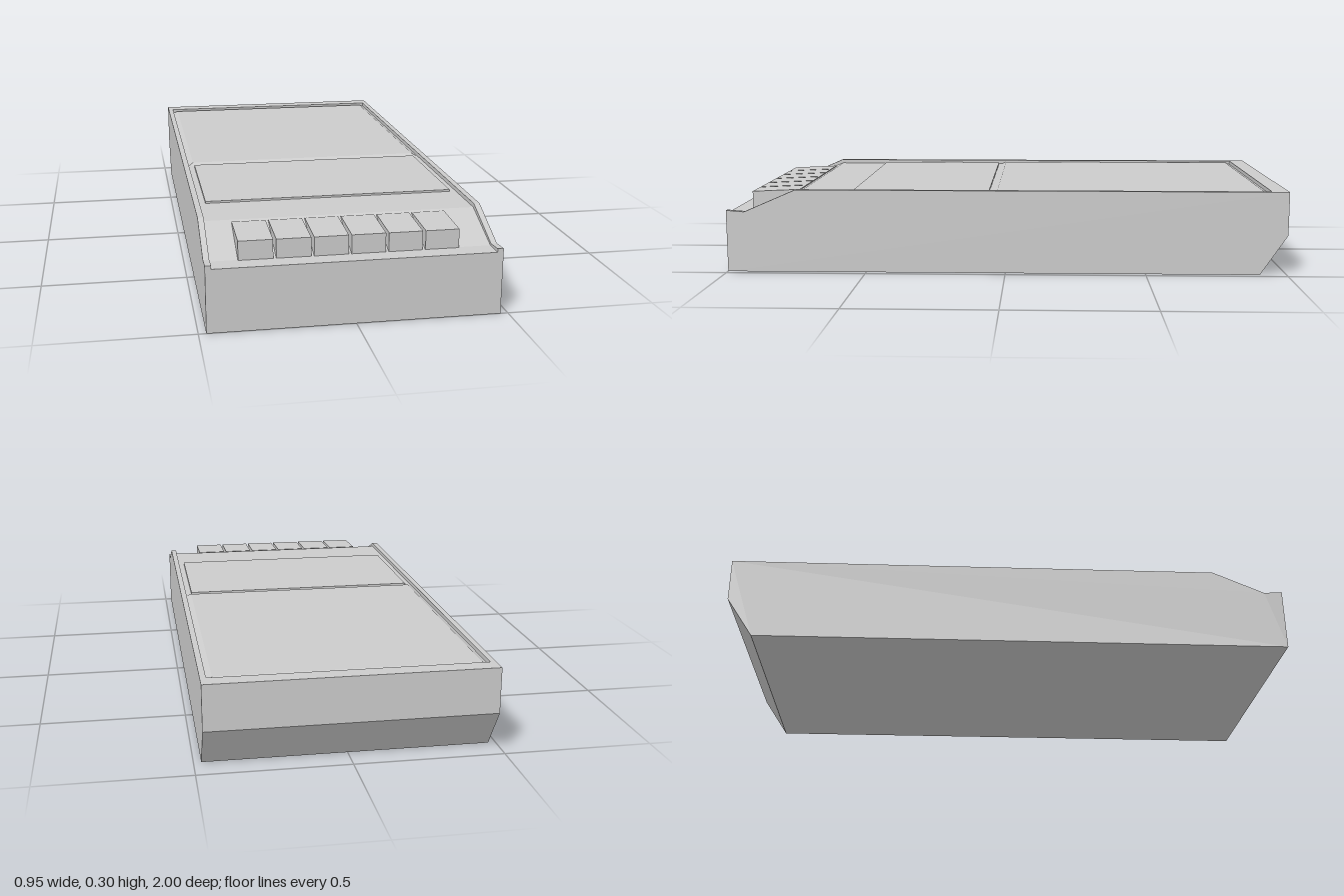
import * as THREE from 'three';

const material = new THREE.MeshStandardMaterial({ color: 0xcccccc, flatShading: true });

// Extrude a side profile of [z, y] points across x, from x0 to x1.
function sideExtrude(name, points, x0, x1) {
  const shape = new THREE.Shape(points.map(([z, y]) => new THREE.Vector2(-z, y)));
  const geometry = new THREE.ExtrudeGeometry(shape, { depth: x1 - x0, bevelEnabled: false });
  geometry.rotateY(Math.PI / 2);
  geometry.translate(x0, 0, 0);
  const mesh = new THREE.Mesh(geometry, material);
  mesh.name = name;
  return mesh;
}

// Raised slab on the deck; its top is inset to give sloping edges.
function slab(name, halfWidth, z0, z1, y0, y1, inset) {
  const depth = z1 - z0;
  const geometry = new THREE.BoxGeometry(halfWidth * 2, y1 - y0, depth);
  const p = geometry.attributes.position;
  for (let i = 0; i < p.count; i++) {
    if (p.getY(i) > 0) {
      p.setX(i, p.getX(i) - Math.sign(p.getX(i)) * inset);
      p.setZ(i, p.getZ(i) - Math.sign(p.getZ(i)) * inset);
    }
  }
  geometry.computeVertexNormals();
  const mesh = new THREE.Mesh(geometry, material);
  mesh.position.set(0, (y0 + y1) / 2, (z0 + z1) / 2);
  mesh.name = name;
  return mesh;
}

export function createModel() {
  const model = new THREE.Group();
  model.name = 'handheldRecorder';

  const half = 0.475, inner = 0.455, top = 0.297, deck = 0.283;
  const underside = [[-1, 0.142], [-0.905, 0], [1, 0]];

  // Main body: back rim, sunken deck, ramp and front ledge
  model.add(sideExtrude('body', [
    ...underside, [1, 0.21], [0.93, 0.21], [0.745, deck],
    [-0.94, deck], [-0.94, top], [-1, top],
  ], -inner, inner));

  // Side walls standing slightly above the deck
  const wall = [...underside, [1, 0.222], [0.935, 0.217], [0.75, top], [-1, top]];
  model.add(sideExtrude('leftWall', wall, inner, half));
  model.add(sideExtrude('rightWall', wall, -half, -inner));

  // Large screen with sloping border, and the smaller plate in front of it
  model.add(slab('screen', inner, -0.94, 0.05, deck - 0.002, 0.292, 0.02));
  model.add(slab('frontPlate', 0.432, 0.06, 0.55, deck - 0.002, 0.29, 0));

  // Row of wedge-shaped keys over the ramp
  const keys = new THREE.Group();
  keys.name = 'keys';
  const keyProfile = [[0.935, 0.208], [0.935, 0.273], [0.76, 0.281], [0.76, 0.272], [0.92, 0.208]];
  for (let i = 0; i < 6; i++) {
    const x = -0.366 + i * 0.1205;
    keys.add(sideExtrude('key', keyProfile, x, x + 0.111));
  }
  model.add(keys);

  return model;
}
